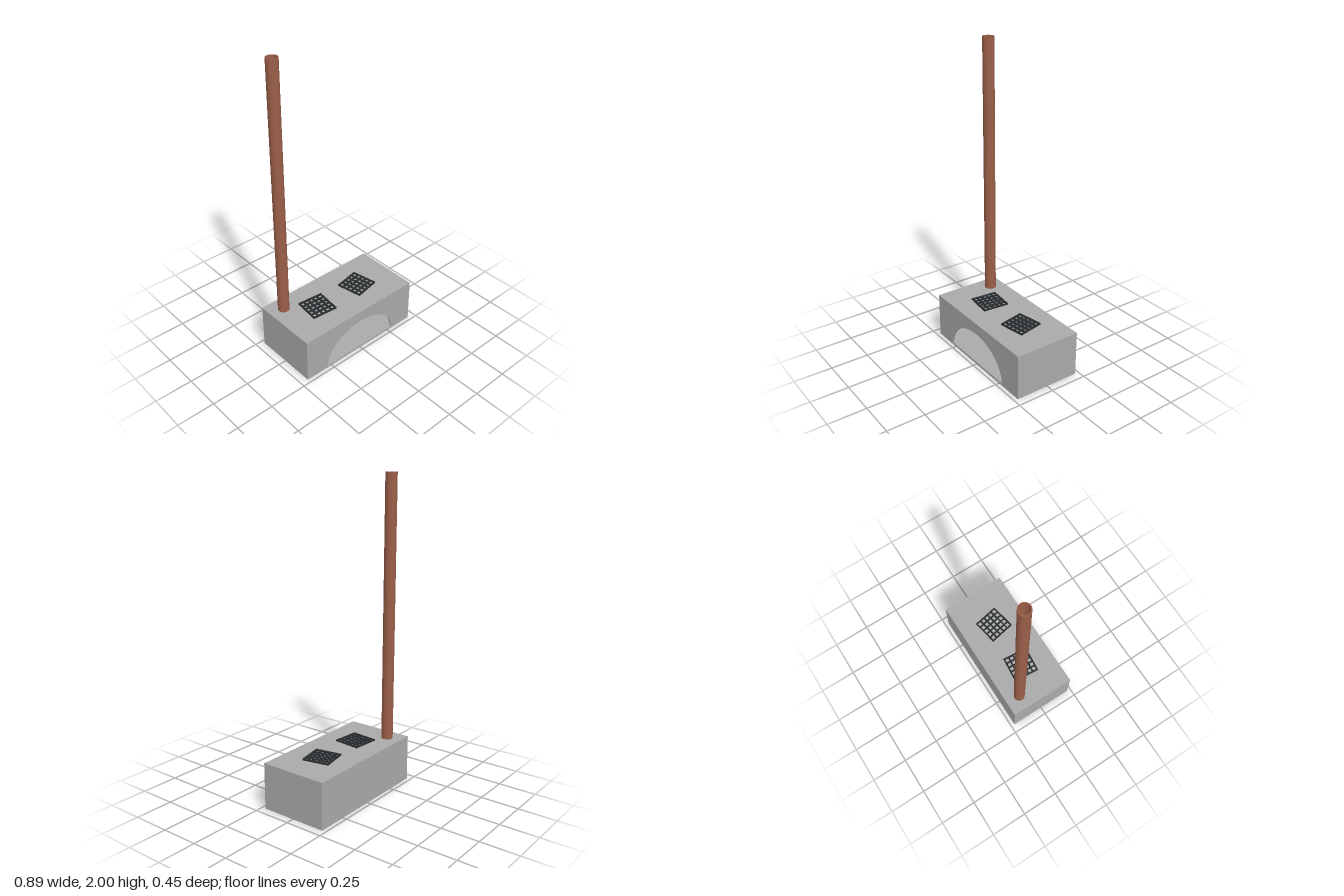
import * as THREE from 'three';

const W = 0.894, D = 0.448, H = 0.3, T = 0.01;
const GRATES = [
  { x: -0.173, z: 0, turn: -0.094 },
  { x: 0.17, z: 0, turn: 0.19 },
];
const PIPE = { x: -0.349, z: -0.126, outer: 0.037, inner: 0.031 };

export function createModel() {
  const model = new THREE.Group();
  model.name = 'stove';
  const concrete = new THREE.MeshStandardMaterial({ name: 'concrete grey', color: 0xaaaaaa });
  const clay = new THREE.MeshStandardMaterial({ name: 'clay brown', color: 0x9c5f4a });
  const iron = new THREE.MeshStandardMaterial({ name: 'iron black', color: 0x2a2e30 });

  const add = (name, geometry, material, x, y, z, parent = model) => {
    const mesh = new THREE.Mesh(geometry, material);
    mesh.name = name;
    mesh.position.set(x, y, z);
    parent.add(mesh);
    return mesh;
  };
  const rectangle = (x0, y0, x1, y1) => new THREE.Shape([
    new THREE.Vector2(x0, y0), new THREE.Vector2(x1, y0),
    new THREE.Vector2(x1, y1), new THREE.Vector2(x0, y1),
  ]);
  const extrude = (shape, depth) =>
    new THREE.ExtrudeGeometry(shape, { depth, bevelEnabled: false, curveSegments: 32 });

  // Hollow body: floor, back and side walls
  const wallH = H - 2 * T;
  add('floor', new THREE.BoxGeometry(W, T, D), concrete, 0, T / 2, 0);
  add('backWall', new THREE.BoxGeometry(W, wallH, T), concrete, 0, H / 2, -D / 2 + T / 2);
  for (const side of [-1, 1]) {
    add(side > 0 ? 'leftWall' : 'rightWall', new THREE.BoxGeometry(T, wallH, D - 2 * T),
      concrete, side * (W - T) / 2, H / 2, 0);
  }

  // Front wall with the arched fire opening
  const front = rectangle(-W / 2, T, W / 2, H - T);
  const arch = new THREE.Path();
  arch.moveTo(0.28, 0.015);
  arch.absellipse(0, 0.015, 0.28, 0.21, 0, Math.PI, false, 0);
  arch.closePath();
  front.holes.push(arch);
  add('frontWall', extrude(front, T), concrete, 0, 0, D / 2 - T);

  // Top plate with burner holes and flue hole
  const top = rectangle(-W / 2, -D / 2, W / 2, D / 2);
  const hole = (x, z, r) => top.holes.push(new THREE.Path().absarc(x, -z, r, 0, Math.PI * 2, true));
  GRATES.forEach((g) => hole(g.x, g.z, 0.083));
  hole(PIPE.x, PIPE.z, PIPE.inner);
  add('topPlate', extrude(top, T), concrete, 0, H - T, 0).rotation.x = -Math.PI / 2;

  // Open chimney pipe
  const { outer, inner } = PIPE;
  const profile = [[inner, H], [outer, H], [outer, H], [outer, 2], [outer, 2], [inner, 2], [inner, 2], [inner, H]];
  for (let i = 0; i < profile.length; i += 2) {
    const points = profile.slice(i, i + 2).map(([r, y]) => new THREE.Vector2(r, y));
    add('chimneyPipe', new THREE.LatheGeometry(points, 32), clay, PIPE.x, 0, PIPE.z);
  }

  // Two iron cooking grates, each six bars by six
  const size = 0.177, bar = 0.01;
  const pitch = (size - bar) / 5;
  GRATES.forEach((g) => {
    const grate = new THREE.Group();
    grate.name = 'cookingGrate';
    grate.position.set(g.x, H, g.z);
    grate.rotation.y = g.turn;
    for (let i = 0; i < 6; i++) {
      const offset = (i - 2.5) * pitch;
      add('crossBar', new THREE.BoxGeometry(size, bar, bar), iron, 0, bar / 2, offset, grate);
      add('longBar', new THREE.BoxGeometry(bar, bar - 0.001, size - 0.001), iron, offset, bar / 2, 0, grate);
    }
    model.add(grate);
  });

  return model;
}
